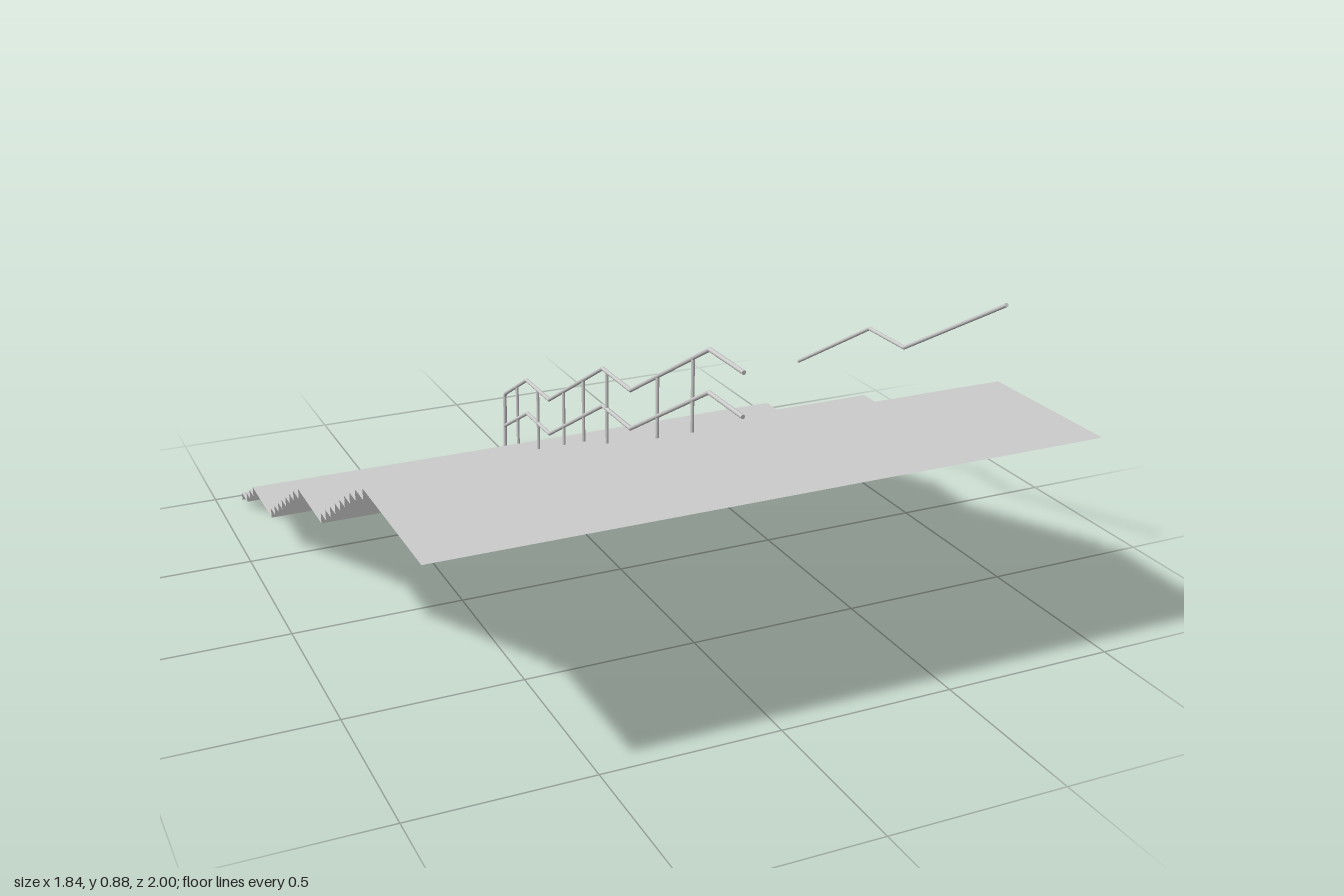
import * as THREE from 'three';

const grey = new THREE.MeshStandardMaterial({ color: 0xcccccc });
const sheet = new THREE.MeshStandardMaterial({ color: 0xcccccc, side: THREE.DoubleSide, flatShading: true });
const R = 0.006;

// Riser positions (z) of the three flights, from the foot upwards
const flights = [
  [-0.963, -0.885, -0.835, -0.78],
  [-0.53, -0.477, -0.424, -0.371, -0.318, -0.265, -0.212, -0.147],
  [0.102, 0.155, 0.208, 0.261, 0.314, 0.363, 0.416, 0.472, 0.543],
];
const FIRST_RISE = 0.025, RISE = 0.031, TOP_END = 1;
const X0 = -0.92, X1 = 0.912;

// Folded sheet of risers and treads, without thickness
function stairSheet() {
  const profile = [];
  let y = 0;
  flights.flat().forEach((z, i) => {
    profile.push([z, y]);
    y += i === 0 ? FIRST_RISE : RISE;
    profile.push([z, y]);
  });
  profile.push([TOP_END, y]);
  const pos = [];
  for (let i = 0; i < profile.length - 1; i++) {
    const [za, ya] = profile[i], [zb, yb] = profile[i + 1];
    pos.push(X0, ya, za, X0, yb, zb, X1, yb, zb, X0, ya, za, X1, yb, zb, X1, ya, za);
  }
  const geo = new THREE.BufferGeometry();
  geo.setAttribute('position', new THREE.Float32BufferAttribute(pos, 3));
  geo.computeVertexNormals();
  const mesh = new THREE.Mesh(geo, sheet);
  mesh.name = 'stairs';
  return mesh;
}

// Round bar along a bent path of [z, y] points at a given x
function bar(name, x, points, radius = R) {
  const group = new THREE.Group();
  group.name = name;
  const pts = points.map(([z, y]) => new THREE.Vector3(x, y, z));
  const up = new THREE.Vector3(0, 1, 0);
  for (let i = 0; i < pts.length - 1; i++) {
    const dir = pts[i + 1].clone().sub(pts[i]);
    const seg = new THREE.Mesh(new THREE.CylinderGeometry(radius, radius, dir.length(), 10), grey);
    seg.name = name + 'Segment';
    seg.position.copy(pts[i]).addScaledVector(dir, 0.5);
    seg.quaternion.setFromUnitVectors(up, dir.normalize());
    group.add(seg);
    // Round joint at each bend
    if (i > 0) {
      const joint = new THREE.Mesh(new THREE.SphereGeometry(radius, 10, 6), grey);
      joint.name = name + 'Joint';
      joint.position.copy(pts[i]);
      group.add(joint);
    }
  }
  return group;
}

export function createModel() {
  const model = new THREE.Group();
  model.name = 'stairway';
  model.add(stairSheet());

  // Central railing: upper rail turning down to the ground, and lower rail
  const cx = 0.004, gap = 0.117;
  const slope = [[0.55, 0.87], [0.06, 0.591], [-0.14, 0.591], [-0.573, 0.342]];
  const run = [[0.74, 0.87], ...slope, [-0.772, 0.342]];
  const railing = new THREE.Group();
  railing.name = 'centralRailing';
  railing.add(
    bar('upperRail', cx, [...run, [-0.975, 0.226], [-0.984, 0.215], [-0.99, 0.1], [-0.994, 0.004]]),
    bar('lowerRail', cx, [...run.map(([z, y]) => [z, y - gap]), [-0.99, 0.102]]),
  );

  // Posts: z, foot, head
  const posts = [
    [0.457, 0.583, 0.817], [0.24, 0.459, 0.693], [-0.109, 0.366, 0.591], [-0.288, 0.273, 0.505],
    [-0.449, 0.18, 0.413], [-0.673, 0.118, 0.342], [-0.863, 0.045, 0.29],
  ];
  for (const [z, foot, head] of posts) railing.add(bar('post', cx, [[z, foot], [z, head]], 0.005));
  model.add(railing);

  // Side handrail along the two upper flights
  model.add(bar('sideHandrail', 0.914, slope));
  return model;
}
